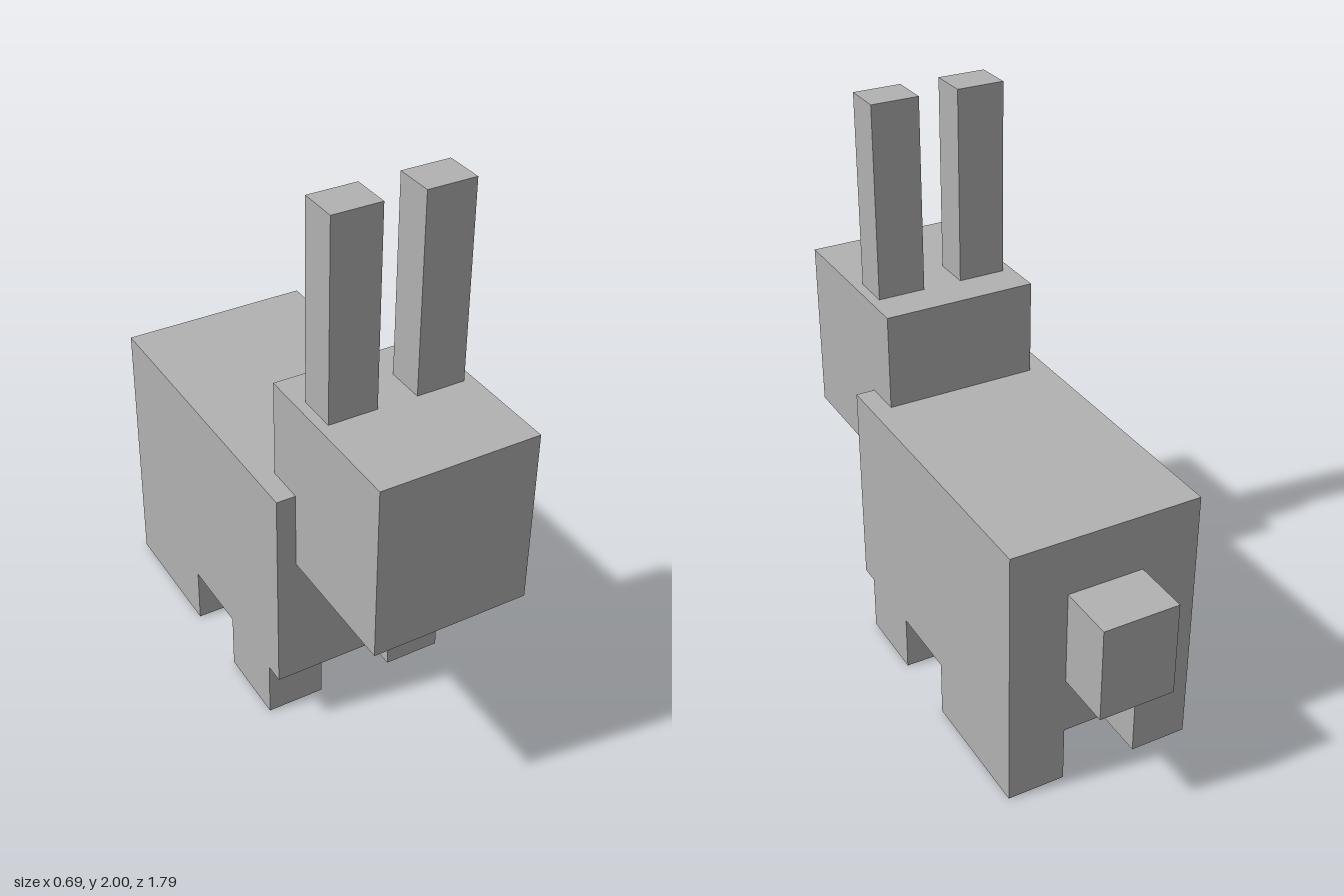
import * as THREE from 'three';

export function createModel() {
  const model = new THREE.Group();
  model.name = 'blockRabbit';
  const greyFur = new THREE.MeshStandardMaterial({ color: 0xb2b2b2 });
  greyFur.name = 'greyFur';

  // Box given by its lower and upper bounds on each axis
  function block(name, [x0, x1], [y0, y1], [z0, z1]) {
    const mesh = new THREE.Mesh(new THREE.BoxGeometry(x1 - x0, y1 - y0, z1 - z0), greyFur);
    mesh.position.set((x0 + x1) / 2, (y0 + y1) / 2, (z0 + z1) / 2);
    mesh.name = name;
    model.add(mesh);
  }

  // Mirrored pair of boxes, given for the left (+x) side
  function pair(name, [x0, x1], y, z) {
    block('left' + name, [x0, x1], y, z);
    block('right' + name, [-x1, -x0], y, z);
  }

  block('body', [-0.343, 0.343], [0.207, 0.966], [-0.69, 0.414]);
  block('head', [-0.275, 0.275], [0.69, 1.31], [0.276, 0.897]);
  block('tail', [-0.137, 0.137], [0.414, 0.76], [-0.897, -0.69]);
  pair('Ear', [0.07, 0.24], [1.31, 2], [0.414, 0.552]);
  pair('FrontLeg', [0.137, 0.343], [0, 0.207], [0.07, 0.345]);
  pair('HindLeg', [0.137, 0.343], [0, 0.207], [-0.69, -0.207]);

  return model;
}
